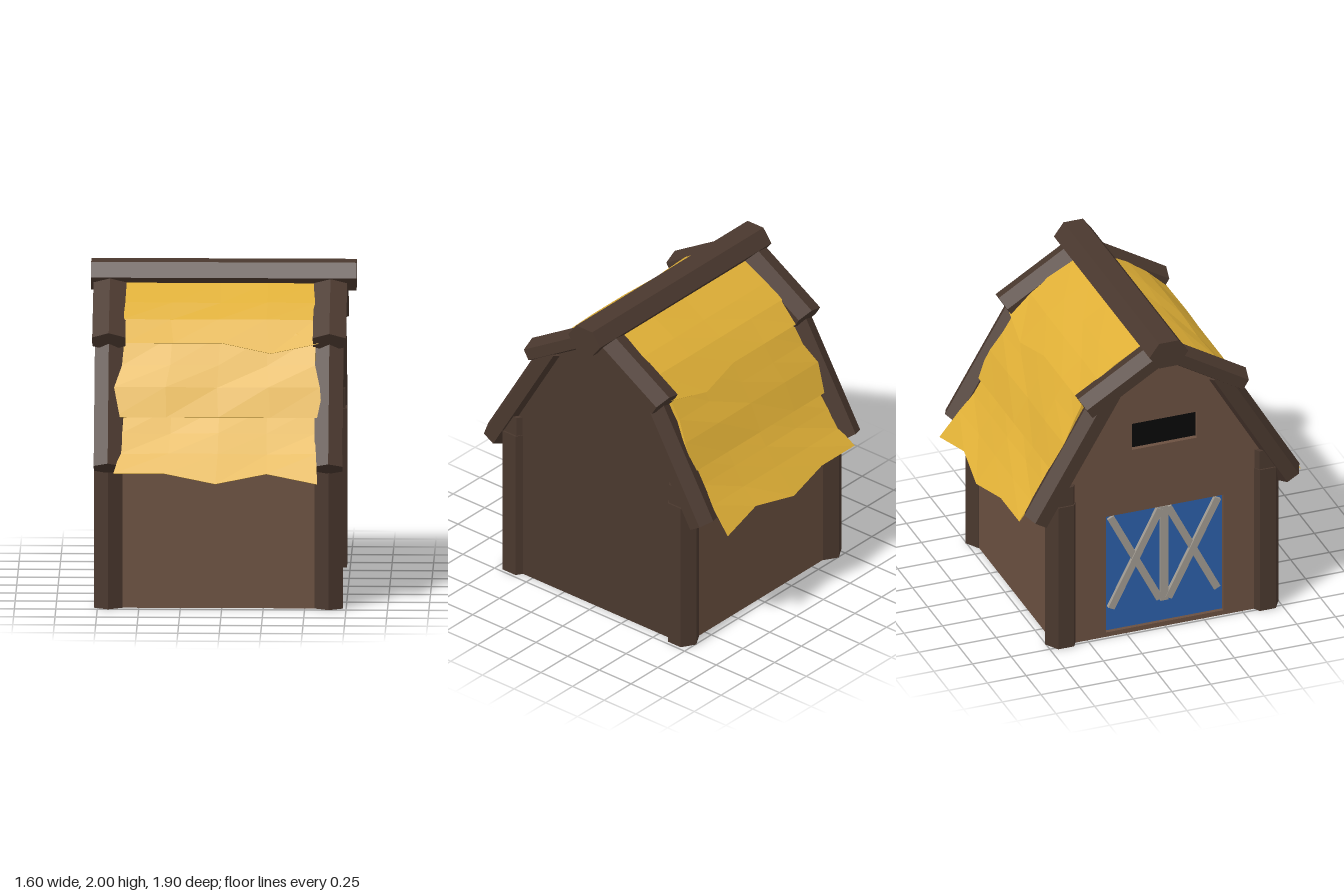
import * as THREE from 'three';

const mat = (color, extra = {}) => new THREE.MeshStandardMaterial({ color, flatShading: true, ...extra });
const timber = mat(0x4a382e);
const plank = mat(0x6b5040);
const straw = mat(0xdfaf36, { side: THREE.DoubleSide });
const blue = mat(0x2c5fa8);
const trim = mat(0xa09a90);
const black = mat(0x080808);

const LEFT_X = -0.685, RIGHT_X = 0.645; // post and rafter centre lines

function add(parent, name, geometry, material, x = 0, y = 0, z = 0) {
  const mesh = new THREE.Mesh(geometry, material);
  mesh.name = name;
  mesh.position.set(x, y, z);
  parent.add(mesh);
  return mesh;
}

// Six-sided log, flat on its x sides, with corners on its z sides
function hexLog(width, depth, length) {
  return new THREE.CylinderGeometry(1, 1, length, 6).scale(width / 2 / 0.866, 1, depth / 2);
}

// Log laid between two points [z, y] at a given x
function rafter(parent, name, x, a, b, width, depth) {
  const dz = b[0] - a[0], dy = b[1] - a[1];
  const log = add(parent, name, hexLog(width, depth, Math.hypot(dz, dy)), timber,
    x, (a[1] + b[1]) / 2, (a[0] + b[0]) / 2);
  log.rotation.x = Math.atan2(dz, dy);
}

// Thatch course: rows run downslope as [z, y, xLeft, xRight]; jag drops the lower edge per column
function thatch(parent, name, rows, jag, seed) {
  const n = rows.length - 1, cols = jag.length - 1;
  const geo = new THREE.BoxGeometry(1, 1, 1, cols, 1, n);
  const p = geo.attributes.position;
  for (let i = 0; i < p.count; i++) {
    const c = Math.round((p.getX(i) + 0.5) * cols);
    const r = Math.round((p.getZ(i) + 0.5) * n);
    const [z, y, x0, x1] = rows[r];
    const inner = p.getY(i) < 0 ? 0.004 + 0.028 * (1 - r / n) : 0;
    const bump = r > 0 && r < n ? 0.006 * Math.sin(seed + c * 2.3 + r * 1.7) : 0;
    const drop = r === n ? jag[c] : 0;
    p.setXYZ(i, x0 + (x1 - x0) * c / cols,
      y - drop * 0.055 - inner * 0.6 + bump * 0.6,
      z + drop * 0.04 - inner * 0.8 + bump * 0.8);
  }
  geo.computeVertexNormals();
  add(parent, name, geo, straw);
}

// Rectangular opening between two z values and two y values
const opening = (z0, z1, y0, y1) => new THREE.Path(
  [[z0, y0], [z0, y1], [z1, y1], [z1, y0]].map(([z, y]) => new THREE.Vector2(z, y)));

// Gambrel end wall whose +x face is at x
function gable(parent, name, x, depth, material, holes = []) {
  const outline = [[-0.68, 0], [0.68, 0], [0.68, 1.0], [0.31, 1.66], [0, 1.86], [-0.31, 1.66], [-0.68, 1.0]];
  const shape = new THREE.Shape(outline.map(([z, y]) => new THREE.Vector2(z, y)));
  shape.holes.push(...holes);
  const geo = new THREE.ExtrudeGeometry(shape, { depth, bevelEnabled: false });
  add(parent, name, geo, material, x).rotation.y = -Math.PI / 2;
}

// Double door with crossed battens, facing -x, set back in its opening
function door() {
  const g = new THREE.Group();
  g.name = 'door';
  g.position.x = -0.7;
  add(g, 'doorPanel', new THREE.BoxGeometry(0.02, 0.82, 0.78), blue, 0.005, 0.425, 0);
  add(g, 'centreBatten', new THREE.BoxGeometry(0.03, 0.65, 0.05), trim, -0.012, 0.5, 0);
  for (const s of [-1, 1]) {
    for (const t of [-1, 1]) {
      const bar = add(g, 'crossBatten', new THREE.BoxGeometry(0.025, 0.7, 0.045), trim,
        -0.01 - 0.004 * (t + 1), 0.5, s * 0.186);
      bar.rotation.x = t * 0.47;
    }
  }
  return g;
}

// Everything on the +z half; mirrored for the back
function half(name) {
  const g = new THREE.Group();
  g.name = name;
  add(g, 'sideWall', new THREE.BoxGeometry(1.36, 1.08, 0.02), plank, -0.02, 0.54, 0.69);
  add(g, 'sideWallLining', new THREE.BoxGeometry(1.36, 1.08, 0.08), timber, -0.02, 0.54, 0.64);

  for (const x of [LEFT_X, RIGHT_X]) {
    add(g, 'cornerPost', hexLog(0.17, 0.205, 0.975), timber, x, 0.4875, 0.652);
    add(g, 'postTop', hexLog(0.15, 0.2, 0.13), timber, x, 1.035, 0.652);
    rafter(g, 'lowerRafter', x, [0.815, 0.878], [0.34, 1.68], 0.17, 0.17);
    rafter(g, 'upperRafter', x, [0.505, 1.595], [0.04, 1.877], 0.2, 0.14);
  }

  thatch(g, 'lowerThatch', [
    [0.65, 1.22, -0.59, 0.56], [0.74, 1.08, -0.6, 0.56],
    [0.82, 0.97, -0.615, 0.57], [0.91, 0.865, -0.65, 0.58],
  ], [0, 0, 1, 0, 1], 1);
  thatch(g, 'middleThatch', [
    [0.45, 1.62, -0.59, 0.56], [0.545, 1.46, -0.605, 0.56],
    [0.62, 1.34, -0.65, 0.59], [0.70, 1.17, -0.65, 0.605],
  ], [0, 0, 0, 0, 0], 3);
  thatch(g, 'upperThatch', [
    [0.1, 1.88, -0.585, 0.55], [0.26, 1.79, -0.59, 0.555],
    [0.38, 1.71, -0.6, 0.55], [0.5, 1.588, -0.59, 0.585],
  ], [0, 0, 0, 1, 0], 5);
  return g;
}

export function createModel() {
  const barn = new THREE.Group();
  barn.name = 'barn';

  const front = half('frontHalf');
  const back = half('backHalf');
  back.scale.z = -1;
  barn.add(front, back);

  // End walls; the right one is clad and has the door and loft opening
  gable(barn, 'leftGable', 0.69, 0.1, timber);
  gable(barn, 'rightGableLining', -0.63, 0.06, timber);
  gable(barn, 'rightGable', -0.69, 0.04, plank,
    [opening(-0.21, 0.21, 1.26, 1.44), opening(-0.38, 0.38, 0.03, 0.83)]);
  add(barn, 'loftOpening', new THREE.BoxGeometry(0.02, 0.2, 0.44), black, -0.69, 1.35, 0);
  barn.add(door());

  // Ridge log
  add(barn, 'ridgeLog', hexLog(0.17, 0.25, 1.6), timber, 0, 1.915, 0).rotation.z = Math.PI / 2;
  return barn;
}
